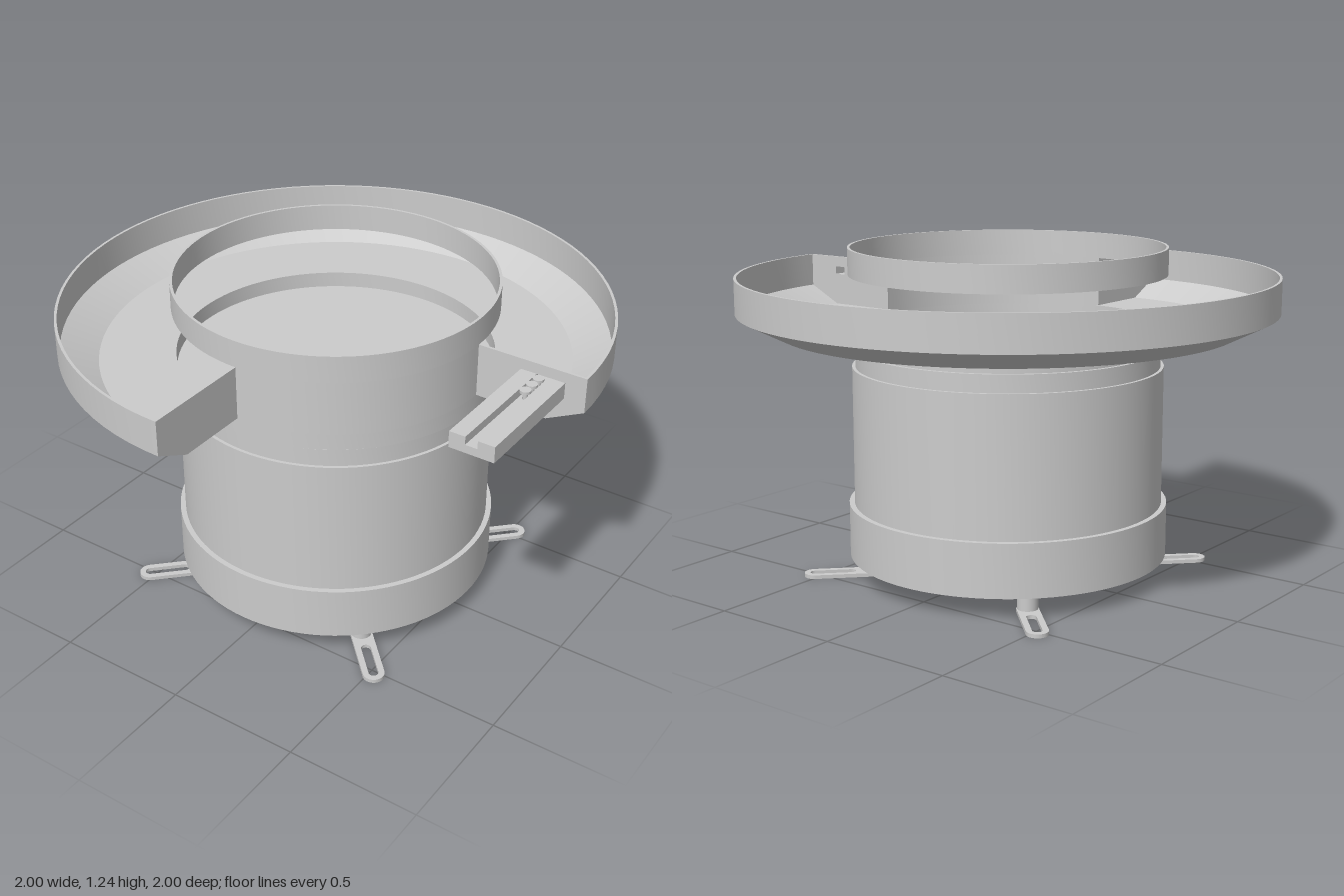
import * as THREE from 'three';
import { toCreasedNormals } from 'three/addons/utils/BufferGeometryUtils.js';

const material = new THREE.MeshStandardMaterial({ color: 0xcccccc, side: THREE.DoubleSide });

function add(parent, name, geometry) {
  const mesh = new THREE.Mesh(geometry, material);
  mesh.name = name;
  parent.add(mesh);
  return mesh;
}

// Revolved profile of [radius, y] points, counter-clockwise, with sharp edges kept
function revolve(points, start = 0, length = Math.PI * 2) {
  const segments = Math.round(96 * length / (Math.PI * 2));
  const profile = points.map(([r, y]) => new THREE.Vector2(r, y));
  return toCreasedNormals(new THREE.LatheGeometry(profile, segments, start, length), 0.4);
}

function polygon(points) {
  return new THREE.Shape(points.map(([x, y]) => new THREE.Vector2(x, y)));
}

function extrude(shape, depth) {
  return new THREE.ExtrudeGeometry(shape, { depth, bevelEnabled: false, curveSegments: 12 });
}

// Rounded slot outline running along x from a to b
function slot(path, a, b, r) {
  path.moveTo(a, -r);
  path.lineTo(b, -r);
  path.absarc(b, 0, r, -Math.PI / 2, Math.PI / 2, false);
  path.lineTo(a, r);
  path.absarc(a, 0, r, Math.PI / 2, Math.PI * 1.5, false);
  return path;
}

export function createModel() {
  const model = new THREE.Group();
  model.name = 'bowlFeeder';

  // Drive unit: wide base, main drum, stepped neck
  add(model, 'driveUnit', revolve([
    [0, 0.08], [0.6, 0.08], [0.6, 0.28], [0.58, 0.28], [0.58, 0.8],
    [0.568, 0.8], [0.568, 0.865], [0.555, 0.865], [0.555, 0.882], [0, 0.882],
  ]));

  // Bowl: floor pan with low collar, raised ring, and wall in the front left quarter
  add(model, 'bowlFloor', revolve([
    [0, 0.88], [0.59, 0.88], [0.59, 0.94], [0.58, 0.94], [0.58, 0.89], [0, 0.89],
  ]));
  add(model, 'bowlRing', revolve([
    [0.58, 1.14], [0.59, 1.14], [0.59, 1.24], [0.58, 1.24], [0.58, 1.14],
  ]));
  add(model, 'bowlWall', revolve([
    [0.58, 0.94], [0.59, 0.94], [0.59, 1.14], [0.58, 1.14], [0.58, 0.94],
  ], 0, Math.PI / 2));

  // Three-quarter tray around the bowl
  add(model, 'tray', revolve([
    [0.58, 0.94], [0.86, 0.94], [1, 1.01], [1, 1.14], [0.99, 1.14],
    [0.99, 1.016], [0.858, 0.95], [0.58, 0.95], [0.58, 0.94],
  ], Math.PI / 2, Math.PI * 1.5));

  // Plates closing both tray ends; the left one opens into the chute groove
  const outline = [[0.585, 0.94], [0.86, 0.94], [1, 1.01], [1, 1.14], [0.585, 1.14]];
  const outletPlate = polygon(outline);
  outletPlate.holes.push(new THREE.Path(
    [[0.815, 1.07], [0.815, 1.1], [0.86, 1.1], [0.86, 1.07]].map(([x, y]) => new THREE.Vector2(x, y))));
  add(model, 'outletEndPlate', extrude(outletPlate, 0.01)).position.z = -0.01;
  const frontPlate = add(model, 'frontEndPlate', extrude(polygon(outline), 0.01));
  frontPlate.rotation.y = -Math.PI / 2;

  // Grooved discharge chute
  add(model, 'chute', extrude(polygon([
    [0.755, 1.04], [0.922, 1.04], [0.922, 1.1], [0.86, 1.1],
    [0.86, 1.07], [0.815, 1.07], [0.815, 1.1], [0.755, 1.1],
  ]), 0.47));

  // Small parts travelling in the groove
  const parts = new THREE.Group();
  parts.name = 'fedParts';
  for (let i = 0; i < 3; i++) {
    const z = 0.03 + i * 0.045;
    const head = add(parts, 'partHead', new THREE.CylinderGeometry(0.02, 0.02, 0.01, 12));
    head.position.set(0.8375, 1.101, z);
    const shank = add(parts, 'partShank', new THREE.CylinderGeometry(0.009, 0.009, 0.026, 10));
    shank.position.set(0.8375, 1.083, z);
  }
  model.add(parts);

  // Four diagonal feet: post and slotted strap
  const strap = slot(new THREE.Shape(), 0.51, 0.735, 0.04);
  strap.holes.push(slot(new THREE.Path(), 0.6, 0.735, 0.018));
  for (let i = 0; i < 4; i++) {
    const foot = new THREE.Group();
    foot.name = 'foot';
    add(foot, 'footStrap', extrude(strap, 0.014).rotateX(-Math.PI / 2));
    const post = add(foot, 'footPost', new THREE.CylinderGeometry(0.038, 0.038, 0.075, 24));
    post.position.set(0.51, 0.0475, 0);
    foot.rotation.y = Math.PI / 4 + i * Math.PI / 2;
    model.add(foot);
  }
  return model;
}
